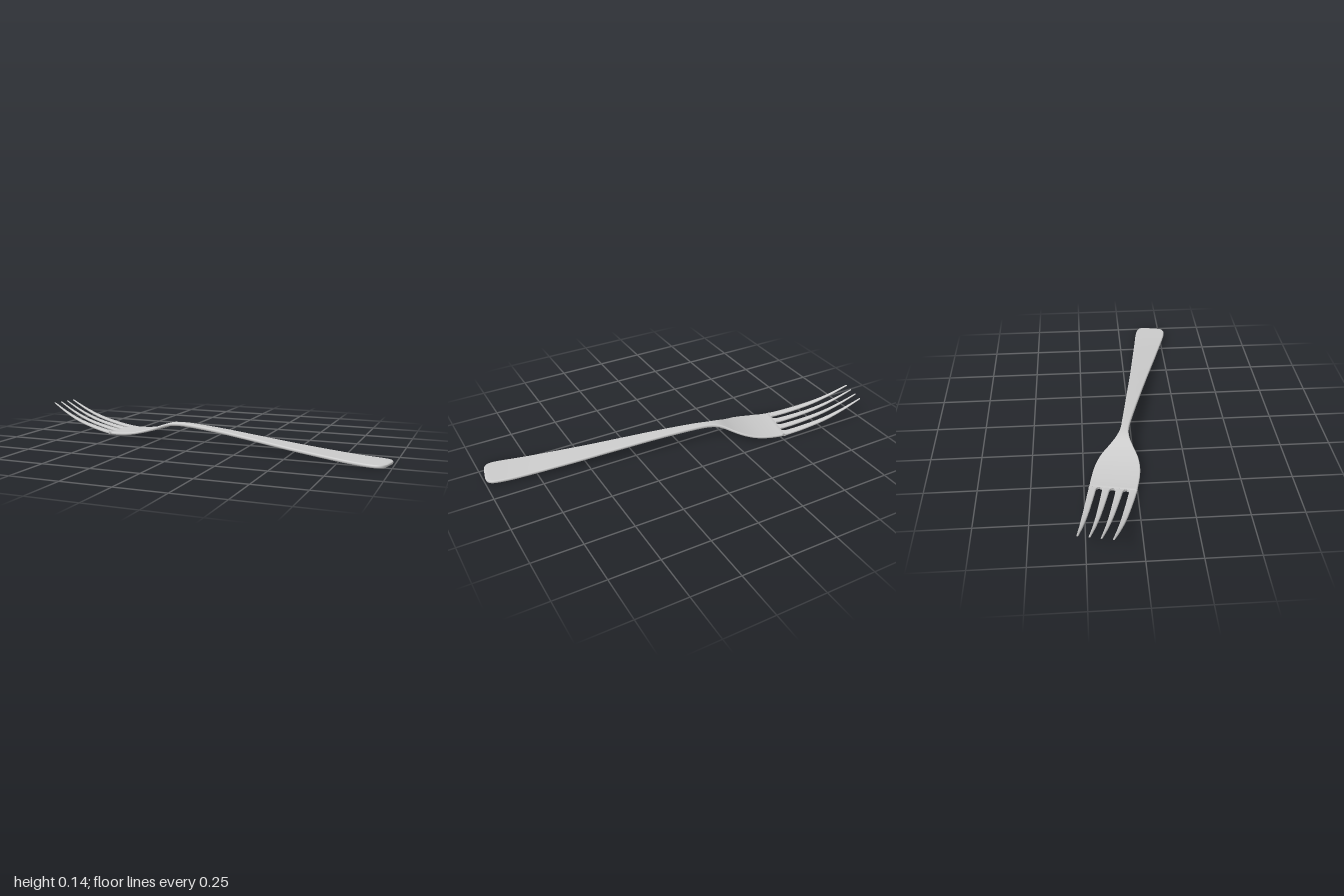
import * as THREE from 'three';

// Tables of [position along the fork, value]; tines at -u, handle at +u
const HEIGHT = [[-1.005, 0.138], [-0.9, 0.09], [-0.8, 0.055], [-0.7, 0.032], [-0.6, 0.016], [-0.53, 0.011],
  [-0.45, 0.016], [-0.38, 0.027], [-0.3, 0.048], [-0.22, 0.076], [-0.16, 0.083], [-0.08, 0.083],
  [0.1, 0.073], [0.3, 0.056], [0.5, 0.038], [0.7, 0.023], [0.85, 0.014], [1.005, 0.0105]];
const HALF_WIDTH = [[-1.005, 0.08], [-0.9, 0.09], [-0.8, 0.099], [-0.6, 0.112], [-0.5, 0.115], [-0.43, 0.113],
  [-0.38, 0.105], [-0.33, 0.088], [-0.28, 0.06], [-0.24, 0.038], [-0.2, 0.025], [-0.16, 0.021],
  [-0.1, 0.023], [0, 0.028], [0.2, 0.039], [0.4, 0.051], [0.6, 0.065], [0.8, 0.079], [0.9, 0.086], [1.005, 0.087]];
const HALF_THICK = [[-1.005, 0.004], [-0.85, 0.006], [-0.55, 0.007], [-0.35, 0.007], [-0.16, 0.0095],
  [0.2, 0.0085], [1.005, 0.008]];
const TIP = -1.005, ROOT = -0.555, END = 1.005;

// Smooth interpolation through a table
function sample(table, u) {
  const n = table.length - 1;
  let i = 0;
  while (i < n - 1 && u > table[i + 1][0]) i++;
  const slope = k => {
    const a = table[Math.max(k - 1, 0)], b = table[Math.min(k + 1, n)];
    return (b[1] - a[1]) / (b[0] - a[0]);
  };
  const [u0, y0] = table[i], [u1, y1] = table[i + 1];
  const h = u1 - u0, t = THREE.MathUtils.clamp((u - u0) / h, 0, 1);
  const t2 = t * t, t3 = t2 * t;
  return (2 * t3 - 3 * t2 + 1) * y0 + (t3 - 2 * t2 + t) * h * slope(i)
    + (3 * t2 - 2 * t3) * y1 + (t3 - t2) * h * slope(i + 1);
}

// Rounded-rectangle ring at u, between side edges v0 and v1
function section(u, v0, v1, thick, round) {
  const w = (v1 - v0) / 2, mid = (v0 + v1) / 2, y = sample(HEIGHT, u);
  const r = Math.min(w, thick) * round, ring = [];
  for (let q = 0; q < 4; q++) {
    const sx = q === 0 || q === 3 ? 1 : -1, sy = q < 2 ? 1 : -1;
    for (let k = 0; k <= 4; k++) {
      const a = (q + k / 4) * Math.PI / 2;
      ring.push([u, y + sy * (thick - r) + r * Math.sin(a), mid + sx * (w - r) + r * Math.cos(a)]);
    }
    if (q % 2 === 0) ring.push([u, y + sy * thick, mid]);
  }
  return ring;
}

// Skin a list of rings and close both ends
function loft(rings) {
  const n = rings[0].length, last = rings.length - 1;
  const pos = rings.flat(2), index = [];
  for (let i = 0; i < last; i++) {
    for (let j = 0; j < n; j++) {
      const a = i * n + j, b = i * n + (j + 1) % n;
      index.push(a, a + n, b, b, a + n, b + n);
    }
  }
  [0, last].forEach(i => {
    const c = pos.length / 3;
    for (let k = 0; k < 3; k++) pos.push(rings[i].reduce((s, p) => s + p[k], 0) / n);
    for (let j = 0; j < n; j++) {
      const a = i * n + j, b = i * n + (j + 1) % n;
      if (i === 0) index.push(c, a, b);
      else index.push(c, b, a);
    }
  });
  const g = new THREE.BufferGeometry();
  g.setAttribute('position', new THREE.Float32BufferAttribute(pos, 3));
  g.setIndex(index);
  g.computeVertexNormals();
  return g;
}

// Handle, neck and palm of the head
function bodyGeometry() {
  const rings = [], steps = 90, bend = 0.91;
  const add = (u, w, t) => rings.push(section(u, -w, w, t, 0.85));
  for (let i = 0; i < steps; i++) {
    const u = ROOT + (bend - ROOT) * i / steps;
    add(u, sample(HALF_WIDTH, u), sample(HALF_THICK, u));
  }
  // blunt rounded handle end
  for (let i = 0; i <= 14; i++) {
    const s = Math.sin(i / 14 * Math.PI / 2) * 0.998;
    const u = bend + (END - bend) * s;
    const w = sample(HALF_WIDTH, u) * Math.pow(1 - Math.pow(s, 4), 0.25);
    add(u, w, sample(HALF_THICK, u) * Math.pow(1 - Math.pow(s, 24), 0.4));
  }
  return loft(rings);
}

// Tine k of 4, bounded by slots with round bottoms
function tineGeometry(k) {
  const rings = [], steps = 44;
  for (let i = 0; i <= steps; i++) {
    const f = 1 - Math.pow(1 - i / steps, 2); // more rings near the root
    const u = TIP + (ROOT - TIP) * f;
    const along = (ROOT - u) / (ROOT - TIP);
    const round = Math.min(1, (ROOT - u) / 0.018);
    const gap = (0.014 + 0.0075 * along) * Math.sqrt(1 - (1 - round) ** 2);
    const centre = 0.064 - 0.0135 * along, outer = sample(HALF_WIDTH, u);
    const v0 = k === 0 ? -outer : (k - 2) * centre + gap;
    const v1 = k === 3 ? outer : (k - 1) * centre - gap;
    const thick = sample(HALF_THICK, u) * (i === 0 ? 0.7 : 1);
    rings.push(section(u, v0, v1, thick, 0.1 + 0.75 * round));
  }
  return loft(rings);
}

export function createModel() {
  const model = new THREE.Group();
  model.name = 'fork';
  const material = new THREE.MeshStandardMaterial({ color: 0xcccccc });
  const add = (geometry, name) => {
    // lay the fork diagonally on the table
    geometry.rotateY(-0.208);
    geometry.translate(0, -0.002, 0);
    const mesh = new THREE.Mesh(geometry, material);
    mesh.name = name;
    model.add(mesh);
  };
  add(bodyGeometry(), 'handleAndPalm');
  for (let k = 0; k < 4; k++) add(tineGeometry(k), `tine${k + 1}`);
  return model;
}
